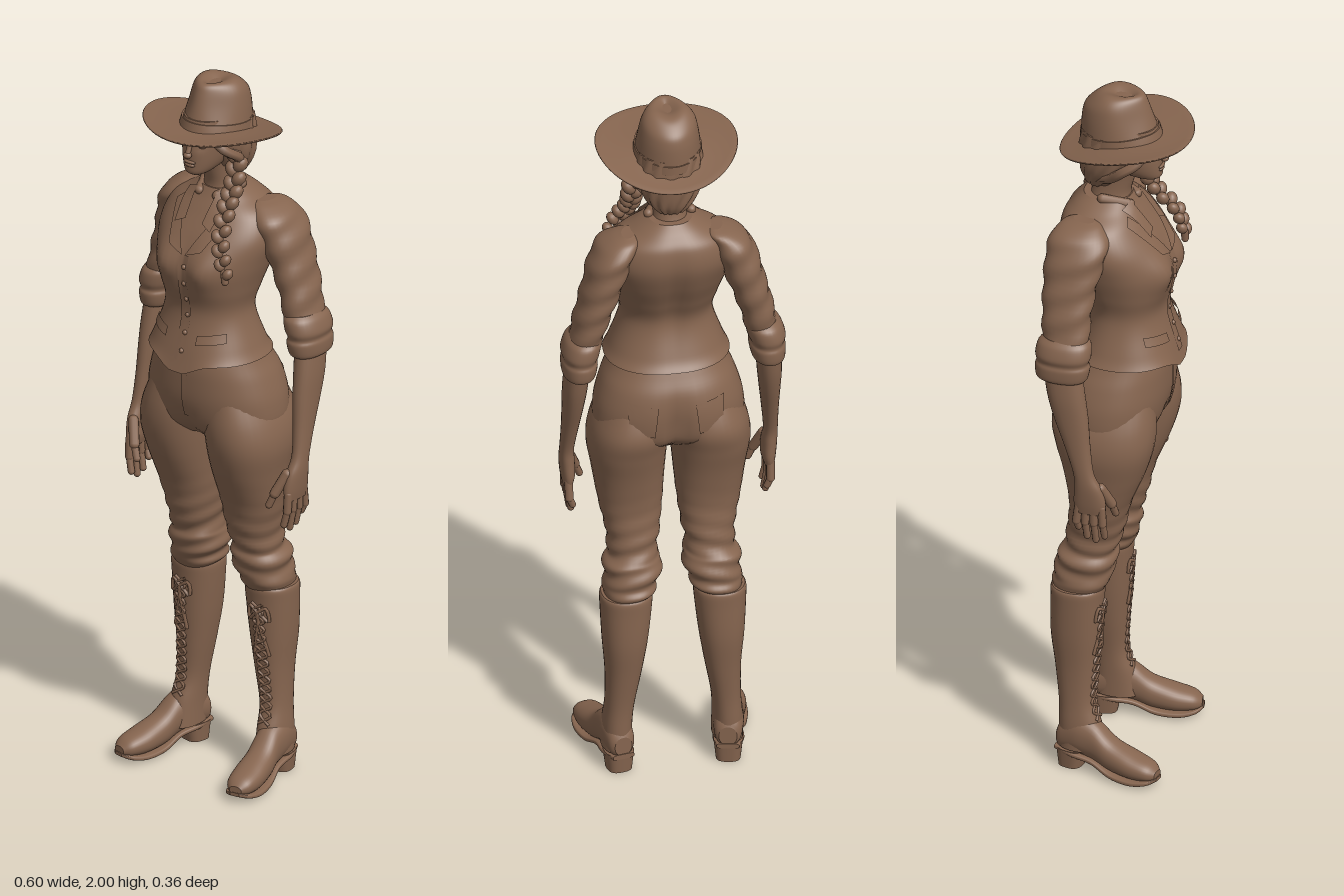
import * as THREE from 'three';

const brown = new THREE.MeshStandardMaterial({ color: 0x86654f, side: THREE.DoubleSide });
brown.name = 'brown';
const gauss = (d, w) => Math.exp(-(d * d) / (w * w));
const mirror = [1, -1];

// Smooth interpolation between the rows of a section table
function sample(rows, t) {
  const last = rows.length - 1;
  const i = Math.min(Math.floor(t), last - 1), f = t - i;
  const at = (k) => rows[Math.max(0, Math.min(last, k))];
  return rows[i].map((b, c) => {
    const a = at(i - 1)[c], d = at(i + 1)[c], e = at(i + 2)[c];
    return b + 0.5 * f * (d - a + f * (2 * a - 5 * b + 4 * d - e + f * (3 * (b - d) + e - a)));
  });
}

// Skin over oval sections: rows of [height, xMin, xMax, depthMin, depthMax], lowest first.
// alongZ lofts from back to front instead, with depth read as height.
function loft(name, rows, { s = 1, seg = 32, steps = 5, power = 0.9, alongZ = false, mod } = {}) {
  const pos = [], idx = [], n = (rows.length - 1) * steps;
  const put = (p) => (alongZ ? pos.push(p.x, p.z, p.y) : pos.push(p.x, p.y, p.z));
  const tri = (a, b, c) => (alongZ ? idx.push(a, c, b) : idx.push(a, b, c));
  const bend = (v) => Math.sign(v) * Math.abs(v) ** power;
  for (let j = 0; j <= n; j++) {
    const [y, x0, x1, z0, z1] = sample(rows, j / steps);
    for (let i = 0; i < seg; i++) {
      const t = (i / seg) * Math.PI * 2;
      const p = new THREE.Vector3(
        s * (x0 + x1) / 2 + bend(Math.cos(t)) * (x1 - x0) / 2, y,
        (z0 + z1) / 2 + bend(Math.sin(t)) * (z1 - z0) / 2);
      if (mod) mod(p, t, j / n);
      put(p);
      if (j < n) {
        const a = j * seg + i, b = j * seg + (i + 1) % seg;
        tri(a, a + seg, b);
        tri(b, a + seg, b + seg);
      }
    }
  }
  // End caps
  for (const j of [0, n]) {
    const base = pos.length / 3, mid = [0, 0, 0];
    for (let k = 0; k < seg * 3; k++) {
      const v = pos[j * seg * 3 + k];
      pos.push(v);
      mid[k % 3] += v / seg;
    }
    pos.push(...mid);
    for (let i = 0; i < seg; i++) {
      const a = base + i, b = base + (i + 1) % seg;
      if (j) tri(a, base + seg, b); else tri(a, b, base + seg);
    }
  }
  const g = new THREE.BufferGeometry();
  g.setAttribute('position', new THREE.Float32BufferAttribute(pos, 3));
  g.setIndex(idx);
  g.computeVertexNormals();
  return named(name, g);
}

function named(name, geometry) {
  const m = new THREE.Mesh(geometry, brown);
  m.name = name;
  return m;
}

function ball(name, x, y, z, rx, ry = rx, rz = rx) {
  const m = named(name, new THREE.SphereGeometry(1, 14, 10));
  m.position.set(x, y, z);
  m.scale.set(rx, ry, rz);
  return m;
}

function capsule(name, a, b, r) {
  const A = new THREE.Vector3(...a), B = new THREE.Vector3(...b), d = B.clone().sub(A);
  const m = named(name, new THREE.CapsuleGeometry(r, d.length(), 4, 10));
  m.position.copy(A).add(B).multiplyScalar(0.5);
  m.quaternion.setFromUnitVectors(new THREE.Vector3(0, 1, 0), d.normalize());
  return m;
}

function tube(name, points, r) {
  const c = new THREE.CatmullRomCurve3(points.map((p) => new THREE.Vector3(...p)));
  return named(name, new THREE.TubeGeometry(c, points.length * 5, r, 6));
}

// Depth of a body part's surface at x, y, seen from the front (1) or back (-1)
function surface(target, x, y, dir = 1, fallback = 0) {
  const ray = new THREE.Raycaster(new THREE.Vector3(x, y, dir * 2), new THREE.Vector3(0, 0, -dir));
  const hit = ray.intersectObject(target)[0];
  return hit ? hit.point.z : fallback;
}

// Thin cloth patch with four x, y corners, laid on a body part
function patch(name, target, c, lift = 0.006, dir = 1) {
  const g = new THREE.PlaneGeometry(1, 1, 8, 8), p = g.attributes.position;
  for (let i = 0; i < p.count; i++) {
    const u = p.getX(i) + 0.5, v = 0.5 - p.getY(i);
    const mix = (k) => (1 - v) * ((1 - u) * c[0][k] + u * c[1][k]) + v * ((1 - u) * c[3][k] + u * c[2][k]);
    const x = mix(0), y = mix(1);
    p.setXYZ(i, x, y, surface(target, x, y, dir, 0) + dir * lift);
  }
  g.computeVertexNormals();
  return named(name, g);
}

export function createModel() {
  const model = new THREE.Group();
  model.name = 'woman in hat';
  const add = (...parts) => model.add(...parts);

  // Vest with bust, spine groove and pointed hem
  const vest = loft('vest', [
    [1.235, -0.168, 0.168, -0.135, 0.145], [1.27, -0.152, 0.152, -0.115, 0.135],
    [1.36, -0.124, 0.124, -0.09, 0.112], [1.43, -0.138, 0.138, -0.115, 0.122],
    [1.5, -0.158, 0.158, -0.148, 0.122], [1.57, -0.172, 0.172, -0.17, 0.095],
    [1.63, -0.152, 0.152, -0.165, 0.055], [1.665, -0.1, 0.1, -0.142, 0.03],
    [1.69, -0.06, 0.06, -0.115, 0.015],
  ], { seg: 56, steps: 7, mod(p, t, u) {
    const front = Math.max(0, Math.sin(t)), back = Math.max(0, -Math.sin(t));
    p.z += front * 0.028 * gauss(p.y - 1.495, 0.06) * gauss(Math.abs(p.x) - 0.07, 0.05);
    p.z += back * 0.014 * gauss(p.x, 0.03) * gauss(p.y - 1.45, 0.15);
    const hem = Math.max(0, 1 - u * 5);
    p.y -= hem * front * 0.035 * gauss(Math.abs(p.x) - 0.012, 0.055);
    p.z += hem * front * 0.012;
  } });
  add(vest);

  // Shirt collar, lapels, pocket welts and buttons
  for (const s of mirror) {
    add(patch('collar', vest, [[s * 0.035, 1.69], [s * 0.07, 1.675], [s * 0.06, 1.6], [s * 0.028, 1.615]], 0.016));
    add(patch('lapel', vest, [[s * 0.07, 1.66], [s * 0.095, 1.64], [s * 0.055, 1.55], [s * 0.004, 1.53]], 0.007));
    add(patch('vest pocket', vest, [[s * 0.05, 1.31], [s * 0.115, 1.32], [s * 0.12, 1.295], [s * 0.05, 1.285]], 0.009));
    add(capsule('collar stand', [s * 0.058, 1.695, -0.05], [s * 0.03, 1.675, 0.02], 0.013));
  }
  for (let i = 0; i < 6; i++) {
    const y = 1.5 - i * 0.048;
    add(ball('button', 0.008, y, surface(vest, 0.008, y, 1, 0.12) + 0.002, 0.007));
  }
  add(patch('vest placket', vest, [[-0.012, 1.53], [0.018, 1.53], [0.018, 1.235], [-0.012, 1.235]], 0.003));

  // Trousers
  const hips = loft('hips', [
    [0.99, -0.13, 0.13, -0.11, 0.07], [1.03, -0.195, 0.195, -0.158, 0.105],
    [1.1, -0.2, 0.2, -0.17, 0.122], [1.17, -0.182, 0.182, -0.16, 0.125],
    [1.22, -0.16, 0.16, -0.135, 0.122], [1.27, -0.14, 0.14, -0.108, 0.11],
  ], { seg: 48, mod(p, t) {
    if (Math.sin(t) < 0) p.z += 0.025 * gauss(p.x, 0.03) * gauss(p.y - 1.06, 0.09);
    else p.z -= 0.015 * gauss(p.x, 0.03) * gauss(p.y - 1.0, 0.06);
  } });
  add(hips);
  add(patch('fly', hips, [[-0.004, 1.2], [0.014, 1.2], [0.01, 1.06], [-0.004, 1.06]], 0.003));

  for (const s of mirror) {
    const side = s > 0 ? 'left ' : 'right ';
    add(patch('back pocket', hips, [[s * 0.05, 1.15], [s * 0.13, 1.16], [s * 0.125, 1.07], [s * 0.06, 1.06]], 0.004, -1));

    // Trouser leg with folds gathered above the boot
    add(loft(side + 'trouser leg', [
      [0.535, 0.065, 0.185, -0.15, -0.025], [0.555, 0.048, 0.188, -0.165, -0.01],
      [0.575, 0.045, 0.182, -0.16, -0.008], [0.6, 0.032, 0.182, -0.158, 0.002],
      [0.635, 0.028, 0.182, -0.152, 0.006], [0.66, 0.04, 0.17, -0.135, 0.008],
      [0.72, 0.03, 0.173, -0.127, 0.026], [0.8, 0.02, 0.19, -0.12, 0.045],
      [0.9, 0.012, 0.206, -0.135, 0.085], [0.98, 0.006, 0.218, -0.155, 0.108],
      [1.05, 0.003, 0.207, -0.168, 0.112], [1.13, 0.02, 0.17, -0.14, 0.1],
    ], { s, seg: 36, steps: 6, mod(p, t, u) {
      const k = 0.004 * gauss(p.y - 0.63, 0.13) * Math.sin(p.y * 120 + 2.5 * Math.sin(t + s));
      p.x += k * Math.cos(t);
      p.z += k * Math.sin(t);
    } }));

    // Boot shaft
    const boot = loft(side + 'boot shaft', [
      [0.06, 0.108, 0.19, -0.138, -0.01], [0.13, 0.108, 0.188, -0.138, -0.022],
      [0.2, 0.103, 0.182, -0.14, -0.042], [0.3, 0.085, 0.182, -0.152, -0.038],
      [0.4, 0.069, 0.19, -0.165, -0.03], [0.5, 0.058, 0.195, -0.166, -0.024],
      [0.535, 0.056, 0.196, -0.166, -0.022], [0.545, 0.06, 0.192, -0.162, -0.026],
    ], { s });
    add(boot);

    // Laces and bow
    const lacePoint = (k, off) => {
      const y = 0.15 + k * 0.025, x = s * (0.148 - k * 0.0012 + off);
      return [x, y, surface(boot, x, y, 1, -0.03) + 0.003];
    };
    for (const side2 of mirror) {
      const path = Array.from({ length: 15 }, (_, k) => lacePoint(k, side2 * (k % 2 ? 0.017 : -0.017)));
      add(tube('boot lace', path, 0.004));
      add(tube('lace bow', [lacePoint(13, 0), lacePoint(13.6, side2 * 0.026), lacePoint(12, side2 * 0.03),
        lacePoint(13, 0), lacePoint(8, side2 * 0.022)], 0.005));
    }

    // Foot, sole and heel, turned slightly outward
    const foot = new THREE.Group();
    foot.name = side + 'foot';
    foot.position.set(s * 0.15, 0, -0.09);
    foot.rotation.y = s * 0.2;
    foot.add(loft('boot upper', [
      [-0.05, -0.024, 0.024, 0.055, 0.11], [-0.035, -0.036, 0.036, 0.045, 0.135],
      [0.01, -0.041, 0.041, 0.042, 0.16], [0.06, -0.038, 0.038, 0.034, 0.145],
      [0.11, -0.041, 0.041, 0.018, 0.105], [0.17, -0.044, 0.044, 0.012, 0.082],
      [0.22, -0.036, 0.036, 0.016, 0.066], [0.243, -0.018, 0.018, 0.025, 0.048],
    ], { alongZ: true }));
    foot.add(loft('boot sole', [
      [-0.052, -0.03, 0.03, 0.045, 0.06], [0, -0.042, 0.042, 0.04, 0.055],
      [0.06, -0.037, 0.037, 0.03, 0.045], [0.12, -0.045, 0.045, 0.008, 0.024],
      [0.18, -0.048, 0.048, 0.004, 0.02], [0.225, -0.038, 0.038, 0.012, 0.026],
      [0.247, -0.014, 0.014, 0.022, 0.032],
    ], { alongZ: true, power: 0.5 }));
    foot.add(loft('boot heel', [[0, -0.033, 0.033, -0.047, 0.018], [0.055, -0.039, 0.039, -0.052, 0.028]],
      { power: 0.7 }));
    add(foot);

    // Sleeve, rolled cuff and forearm
    add(loft(side + 'sleeve', [
      [1.34, 0.195, 0.28, -0.155, -0.03], [1.42, 0.172, 0.266, -0.162, -0.03],
      [1.5, 0.143, 0.246, -0.167, -0.022], [1.58, 0.115, 0.225, -0.168, -0.005],
      [1.625, 0.1, 0.202, -0.16, -0.005], [1.65, 0.09, 0.165, -0.142, -0.025],
      [1.66, 0.1, 0.135, -0.11, -0.05],
    ], { s, mod(p, t) {
      p.x += 0.003 * Math.cos(t) * Math.sin(p.y * 85 + 2 * t);
      p.z += 0.003 * Math.sin(t) * Math.sin(p.y * 85 + 2 * t);
    } }));
    add(loft(side + 'cuff', [
      [1.245, 0.222, 0.288, -0.155, -0.04], [1.255, 0.21, 0.298, -0.168, -0.028],
      [1.285, 0.204, 0.3, -0.171, -0.022], [1.3, 0.207, 0.296, -0.167, -0.026],
      [1.32, 0.199, 0.3, -0.171, -0.02], [1.35, 0.194, 0.29, -0.166, -0.022],
      [1.365, 0.2, 0.276, -0.15, -0.035],
    ], { s }));
    add(loft(side + 'forearm and palm', [
      [0.855, 0.258, 0.283, -0.055, 0.024], [0.885, 0.25, 0.288, -0.06, 0.028],
      [0.93, 0.251, 0.292, -0.058, 0.018], [0.975, 0.254, 0.292, -0.06, -0.004],
      [1.05, 0.246, 0.291, -0.085, -0.015], [1.13, 0.236, 0.292, -0.115, -0.022],
      [1.2, 0.228, 0.293, -0.135, -0.032], [1.28, 0.222, 0.288, -0.148, -0.045],
    ], { s, seg: 24 }));

    // Fingers and thumb
    for (let i = 0; i < 4; i++) {
      const z = 0.017 - i * 0.021, tip = [0.775, 0.76, 0.768, 0.792][i];
      const knuckle = [s * 0.27, 0.825, z * 1.15];
      add(capsule('finger', [s * 0.271, 0.875, z], knuckle, 0.0115));
      add(capsule('finger tip', knuckle, [s * 0.261, tip + 0.01, z * 1.15 + 0.003], 0.0095));
    }
    add(capsule('thumb', [s * 0.262, 0.93, 0.012], [s * 0.24, 0.875, 0.035], 0.014));
    add(capsule('thumb tip', [s * 0.24, 0.875, 0.035], [s * 0.226, 0.84, 0.042], 0.01));
  }

  // Neck and head
  add(loft('neck', [
    [1.63, -0.065, 0.065, -0.12, 0.03], [1.69, -0.046, 0.046, -0.095, 0.012],
    [1.74, -0.042, 0.042, -0.085, 0.022], [1.79, -0.045, 0.045, -0.08, 0.04],
  ]));
  add(loft('head', [
    [1.752, -0.018, 0.018, 0.045, 0.086], [1.762, -0.034, 0.034, 0.0, 0.098],
    [1.785, -0.05, 0.05, -0.05, 0.099], [1.82, -0.061, 0.061, -0.08, 0.098],
    [1.86, -0.066, 0.066, -0.09, 0.098], [1.91, -0.066, 0.066, -0.085, 0.085],
  ], { mod(p, t) {
    if (Math.sin(t) > 0) p.z -= 0.01 * gauss(Math.abs(p.x) - 0.028, 0.016) * gauss(p.y - 1.842, 0.014);
  } }));
  add(capsule('nose bridge', [0, 1.845, 0.094], [0, 1.82, 0.105], 0.007));
  add(ball('nose tip', 0, 1.815, 0.106, 0.012, 0.009, 0.011));
  add(ball('upper lip', 0, 1.793, 0.097, 0.02, 0.005, 0.008));
  add(ball('lower lip', 0, 1.784, 0.096, 0.017, 0.006, 0.008));
  for (const s of mirror) add(ball('eye', s * 0.028, 1.841, 0.079, 0.013, 0.008, 0.01));

  // Hair gathered at the nape, with side locks and a braid over the left shoulder
  add(loft('hair', [
    [1.715, -0.035, 0.035, -0.1, -0.045], [1.74, -0.06, 0.06, -0.114, -0.01],
    [1.78, -0.082, 0.082, -0.122, 0.022], [1.83, -0.09, 0.09, -0.125, 0.05],
    [1.89, -0.084, 0.084, -0.118, 0.06],
  ], { seg: 64, mod(p, t) {
    const k = 0.003 * Math.sin(t * 14 + p.y * 60);
    p.x += k * Math.cos(t);
    p.z += k * Math.sin(t);
  } }));
  for (const s of mirror) {
    add(tube('side lock', [[s * 0.055, 1.87, 0.075], [s * 0.088, 1.835, 0.055], [s * 0.1, 1.81, 0.02],
      [s * 0.08, 1.775, -0.02], [s * 0.05, 1.75, -0.06]], 0.014));
  }
  const braid = new THREE.CatmullRomCurve3([[0.085, 1.8, 0], [0.088, 1.72, 0.02], [0.09, 1.66, 0.055],
    [0.112, 1.59, 0.105], [0.135, 1.515, 0.118]].map((p) => new THREE.Vector3(...p)));
  for (let i = 0; i < 18; i++) {
    const p = braid.getPoint(i / 17), s = i % 2 ? 1 : -1, r = 0.025 - 0.007 * (i / 17);
    const strand = ball('braid strand', p.x + s * 0.012, p.y, p.z, r * 0.75, r, r * 0.85);
    strand.rotation.z = s * -0.6;
    add(strand);
  }
  add(capsule('braid tuft', [0.135, 1.515, 0.118], [0.138, 1.49, 0.118], 0.01));

  // Hat brim, sloping to the back with lifted sides
  const profile = [[0.06, 0], [0.12, -0.004], [0.17, -0.004], [0.188, -0.002], [0.19, 0.001],
    [0.188, 0.004], [0.17, 0.004], [0.12, 0.005], [0.06, 0.014]].map((p) => new THREE.Vector2(...p));
  const brim = new THREE.LatheGeometry(profile, 64), bp = brim.attributes.position;
  for (let i = 0; i < bp.count; i++) {
    const x = bp.getX(i), z = bp.getZ(i) * 0.935;
    bp.setXYZ(i, x, 1.86 + bp.getY(i) + 0.16 * z + 0.6 * x * x - 0.2 * z * z, z + 0.002);
  }
  brim.computeVertexNormals();
  add(named('hat brim', brim));

  // Hat crown, pinched at the front with a creased top
  const pinch = (p) => {
    const f = THREE.MathUtils.smoothstep(p.z, -0.03, 0.1);
    p.x *= 1 - 0.4 * f * THREE.MathUtils.smoothstep(p.y, 1.85, 1.98);
  };
  add(loft('hat crown', [
    [1.85, -0.09, 0.09, -0.122, 0.098], [1.89, -0.087, 0.087, -0.122, 0.088],
    [1.94, -0.08, 0.08, -0.119, 0.072], [1.975, -0.071, 0.071, -0.111, 0.06],
    [1.995, -0.055, 0.055, -0.09, 0.05], [2.0, -0.035, 0.035, -0.065, 0.035],
    [1.99, -0.012, 0.012, -0.03, 0.015],
  ], { seg: 48, power: 1, mod(p) {
    pinch(p);
    p.y -= 0.02 * THREE.MathUtils.smoothstep(-p.z, 0.03, 0.12) * THREE.MathUtils.smoothstep(p.y, 1.9, 2);
  } }));
  add(loft('hat band', [[1.868, -0.0915, 0.0915, -0.1255, 0.097], [1.893, -0.09, 0.09, -0.125, 0.091]],
    { seg: 48, power: 1, mod(p) { pinch(p); p.y += 0.12 * p.z; } }));
  return model;
}
